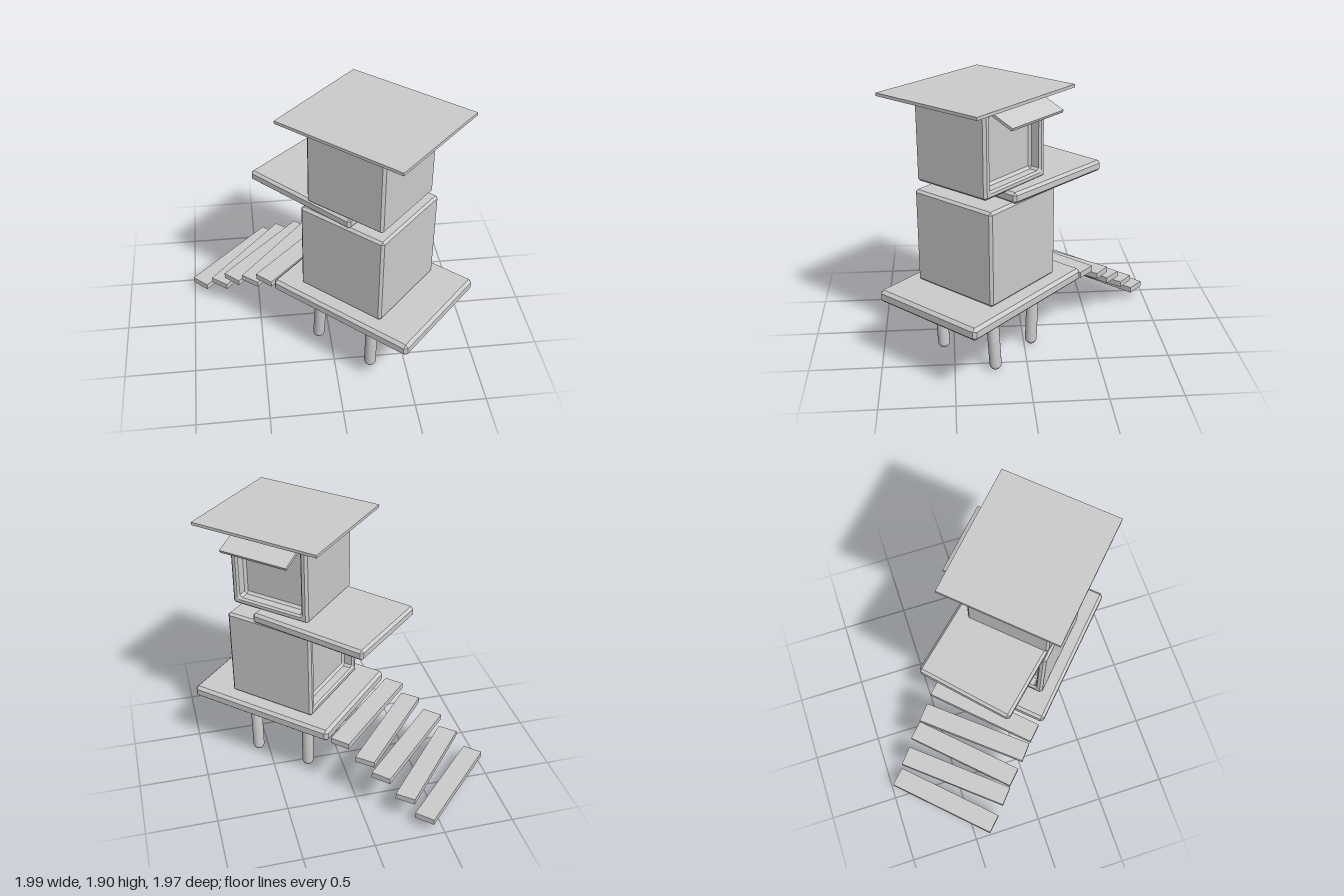
import * as THREE from 'three';

const grey = new THREE.MeshStandardMaterial({ color: 0xcccccc, flatShading: true });
const smoothGrey = new THREE.MeshStandardMaterial({ color: 0xcccccc });
const TURN = 43.6; // heading of the whole hut, degrees

// Octagonal rings [halfWidth, halfHeight, z, cornerCut] skinned along z and capped
function loft(rings) {
  const pos = [];
  const loops = rings.map(([w, h, z, c]) => [
    [w, c - h], [w, h - c], [w - c, h], [c - w, h], [-w, h - c], [-w, c - h], [c - w, -h], [w - c, -h],
  ].map(([x, y]) => new THREE.Vector3(x, y, z)));
  const tri = (a, b, c) => {
    if (new THREE.Triangle(a, b, c).getArea() > 1e-9) for (const p of [a, b, c]) pos.push(p.x, p.y, p.z);
  };
  for (let i = 0; i < loops.length - 1; i++) {
    for (let j = 0; j < 8; j++) {
      const k = (j + 1) % 8, lo = loops[i], hi = loops[i + 1];
      tri(lo[j], lo[k], hi[k]);
      tri(lo[j], hi[k], hi[j]);
    }
  }
  const first = loops[0], last = loops[loops.length - 1];
  for (let j = 1; j < 7; j++) {
    tri(first[0], first[j + 1], first[j]);
    tri(last[0], last[j], last[j + 1]);
  }
  const geo = new THREE.BufferGeometry();
  geo.setAttribute('position', new THREE.Float32BufferAttribute(pos, 3));
  geo.computeVertexNormals();
  return geo;
}

const shell = (w, h, d, c) => [
  [w / 2 - c, h / 2 - c, -d / 2, 0], [w / 2, h / 2, c - d / 2, c],
  [w / 2, h / 2, d / 2 - c, c], [w / 2 - c, h / 2 - c, d / 2, 0],
];
const chamferBox = (w, h, d, c) => loft(shell(w, h, d, c));

// Chamfered cube with a recessed, bevelled opening in its +z side
function cabin(w, h, d) {
  const f = d / 2, ring = (m, z, c) => [w / 2 - m, h / 2 - m, z, c];
  return loft([...shell(w, h, d, 0.017),
    ring(0.04, f, 0.012), ring(0.053, f - 0.014, 0.017),
    ring(0.053, f - 0.073, 0.017), ring(0.071, f - 0.09, 0)]);
}

export function createModel() {
  const model = new THREE.Group();
  const add = (name, geo, x, y, z, turn = TURN, mat = grey) => {
    const m = new THREE.Mesh(geo, mat);
    m.name = name;
    m.position.set(x, y, z);
    m.rotation.order = 'YXZ';
    m.rotation.y = -THREE.MathUtils.degToRad(turn);
    model.add(m);
    return m;
  };

  // Platform and the two stacked cabins
  add('deck', chamferBox(1.13, 0.09, 0.865, 0.021), 0.3, 0.512, 0.293);
  add('lowerCabin', cabin(0.67, 0.665, 0.67), 0.265, 0.893, 0.26, TURN + 90);
  add('upperCabin', cabin(0.605, 0.592, 0.605), 0.26, 1.581, 0.2875, TURN + 180);

  // Slab between the cabins, jutting out over the stairs
  add('balconySlab', chamferBox(0.885, 0.077, 0.69, 0.018), 0.035, 1.256, -0.005, 47.2);

  // Flat roof and the tilted window awning
  add('roof', new THREE.BoxGeometry(0.96, 0.021, 0.85), 0.28, 1.895, 0.305);
  const awning = add('awning', new THREE.BoxGeometry(0.51, 0.02, 0.19), 0.525, 1.813, 0.003);
  awning.rotation.x = -0.39;

  // Slightly crooked round legs: foot x, z and top x, z
  const legs = [
    [0.25, 0.573, 0.25, 0.592], [0.25, -0.05, 0.25, -0.064],
    [-0.082, 0.235, -0.064, 0.28], [0.575, 0.222, 0.575, 0.245],
  ];
  const r = 0.042;
  for (const [fx, fz, tx, tz] of legs) {
    const foot = new THREE.Vector3(fx, 0.003 + r, fz), top = new THREE.Vector3(tx, 0.49, tz);
    const axis = top.clone().sub(foot);
    const profile = [];
    for (let i = 0; i <= 6; i++) {
      const a = (i / 6) * Math.PI / 2;
      profile.push(new THREE.Vector2(r * Math.sin(a), -r * Math.cos(a)));
    }
    profile.push(new THREE.Vector2(r, axis.length()), new THREE.Vector2(0, axis.length()));
    const leg = add('leg', new THREE.LatheGeometry(profile, 20), foot.x, foot.y, foot.z, 0, smoothGrey);
    leg.quaternion.setFromUnitVectors(new THREE.Vector3(0, 1, 0), axis.normalize());
  }

  // Floating stair planks, alternately skewed: x, y, z, heading
  const planks = [
    [-0.66, 0.099, -0.637, 44.3], [-0.53, 0.21, -0.51, 40.3], [-0.412, 0.319, -0.4, 44.3],
    [-0.3, 0.404, -0.285, 40.2], [-0.18, 0.487, -0.165, 44.3],
  ];
  for (const [x, y, z, turn] of planks) {
    add('stairPlank', new THREE.BoxGeometry(0.143, 0.043, 0.83), x, y, z, turn);
  }
  return model;
}
